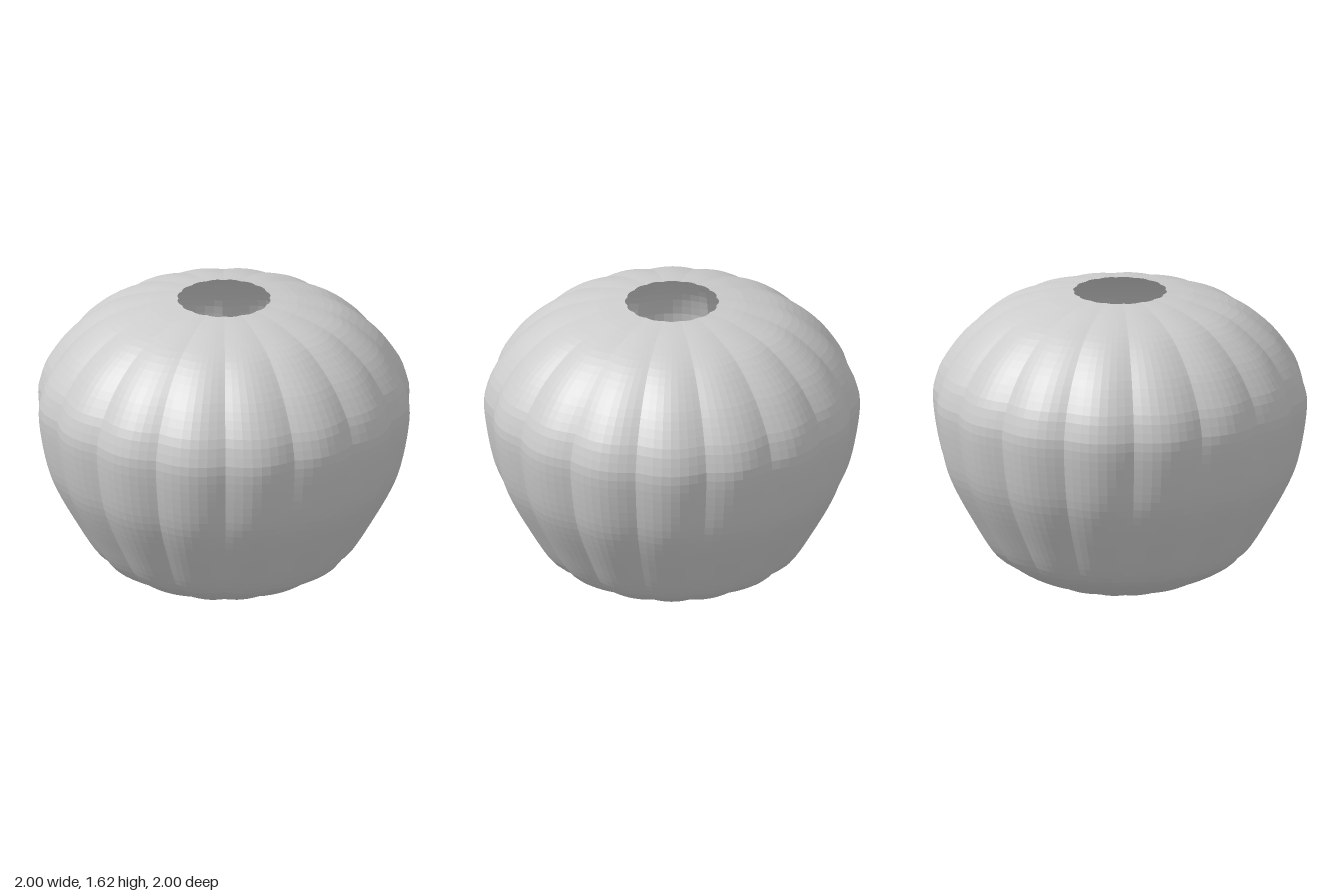
import * as THREE from 'three';

// Half outline of the shell from the bottom opening to the top opening: radius, height
const PROFILE = [
  [0.27, 0], [0.37, 0.022], [0.48, 0.065], [0.6, 0.13], [0.695, 0.21], [0.81, 0.4],
  [0.9, 0.57], [0.95, 0.7], [0.985, 0.87], [1.0, 1.02], [0.985, 1.11], [0.94, 1.22],
  [0.82, 1.38], [0.64, 1.52], [0.43, 1.595], [0.25, 1.625],
];
const LOBES = 16;
const STEPS_PER_LOBE = 8;
const ROWS = 48;

// Flat facets without changing the material
function faceted(geometry) {
  const flat = geometry.toNonIndexed();
  flat.computeVertexNormals();
  return flat;
}

// Lathe pushed into rounded lobes with sharp valleys between them
function lobedShell() {
  const curve = new THREE.SplineCurve(PROFILE.map(([r, y]) => new THREE.Vector2(r, y)));
  const geometry = new THREE.LatheGeometry(curve.getSpacedPoints(ROWS), LOBES * STEPS_PER_LOBE);
  const p = geometry.attributes.position;
  for (let i = 0; i < p.count; i++) {
    const angle = Math.atan2(p.getX(i), p.getZ(i));
    const swell = 0.976 + 0.036 * Math.abs(Math.sin(angle * LOBES / 2));
    p.setX(i, p.getX(i) * swell);
    p.setZ(i, p.getZ(i) * swell);
  }
  return faceted(geometry);
}

export function createModel() {
  const group = new THREE.Group();
  const grey = new THREE.MeshStandardMaterial({ color: 0xcccccc, side: THREE.DoubleSide });
  grey.name = 'light grey';

  // Hollow ribbed shell, open at top and bottom
  const shell = new THREE.Mesh(lobedShell(), grey);
  shell.name = 'ribbedShell';
  group.add(shell);

  // Ball hanging in the middle of the shell
  const ball = new THREE.Mesh(faceted(new THREE.SphereGeometry(0.172, 32, 24)), grey);
  ball.name = 'innerBall';
  ball.position.y = 0.81;
  group.add(ball);

  return group;
}
